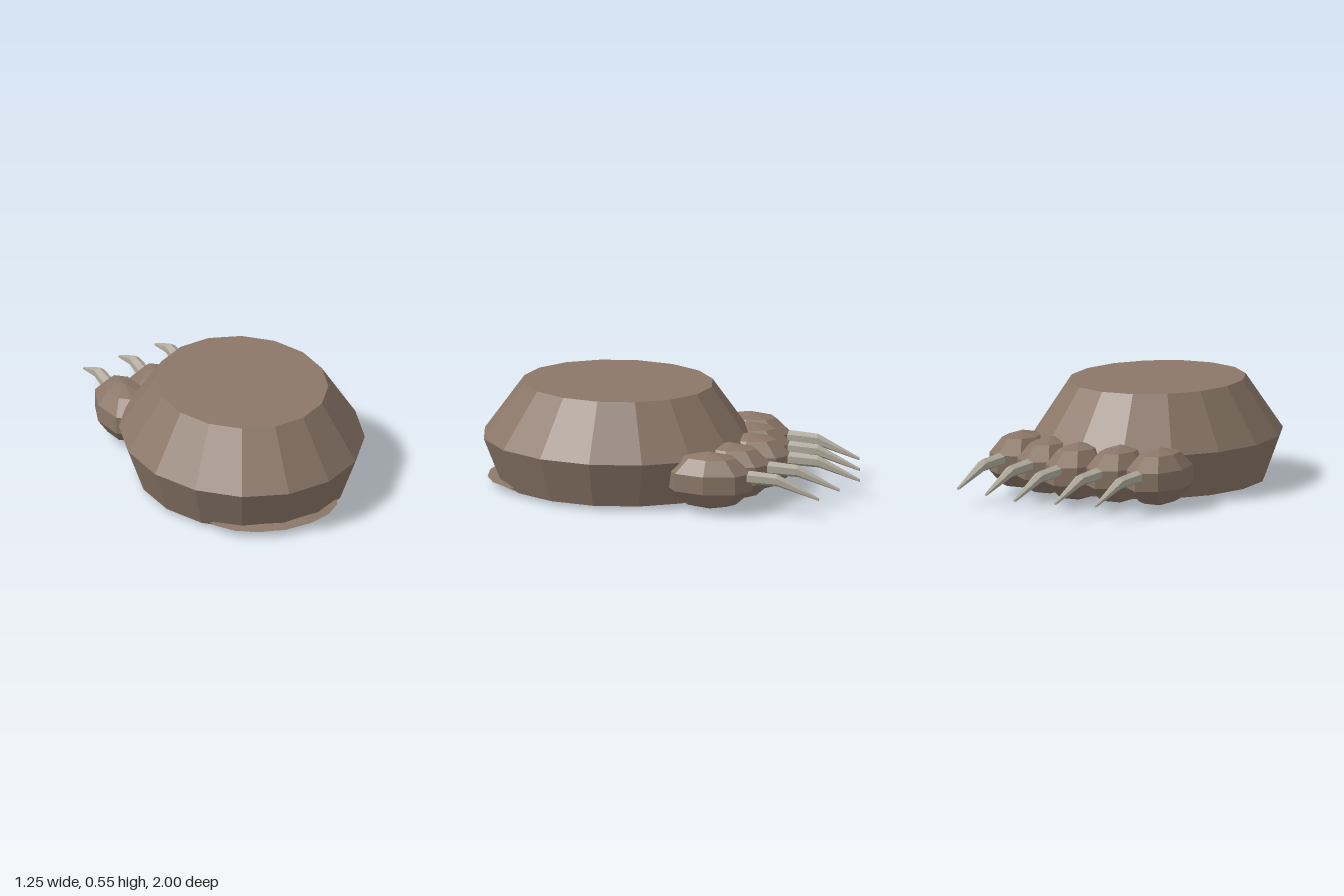
import * as THREE from 'three';

const fur = new THREE.MeshStandardMaterial({ color: 0x8b7768 });
fur.name = 'brownFur';
const horn = new THREE.MeshStandardMaterial({ color: 0xb2ad9f });
horn.name = 'greyClaw';

// Faceted mesh: split the corners so every face gets its own normal
function facet(name, geometry, material) {
  const g = geometry.toNonIndexed();
  g.computeVertexNormals();
  const mesh = new THREE.Mesh(g, material);
  mesh.name = name;
  return mesh;
}

// Oval turned solid from [radius, height] pairs, listed bottom to top
function oval(name, profile, stretchZ, z) {
  const points = profile.map(([r, y]) => new THREE.Vector2(r, y));
  const g = new THREE.LatheGeometry(points, 16);
  g.scale(1, 1, stretchZ);
  g.translate(0, 0, z);
  return facet(name, g, fur);
}

// Bent six-sided claw; each ring is [forward, y, half width, half height]
function claw(x, z) {
  const rings = [
    [-0.06, 0.195, 0.037, 0.036],
    [0, 0.195, 0.036, 0.035],
    [0.14, 0.188, 0.03, 0.032],
    [0.36, 0.1, 0.008, 0.008],
  ];
  const g = new THREE.CylinderGeometry(1, 1, 3, 6, 3);
  g.rotateX(-Math.PI / 2);
  const p = g.attributes.position;
  for (let i = 0; i < p.count; i++) {
    const [f, y, w, h] = rings[Math.round(1.5 - p.getZ(i))];
    p.setXYZ(i, x + p.getX(i) * w, y + p.getY(i) * h, z - f);
  }
  return facet('claw', g, horn);
}

// Toe: squat low-poly ellipsoid with its claw
function toe(x, z) {
  const group = new THREE.Group();
  group.name = 'toe';
  const g = new THREE.SphereGeometry(1, 8, 5);
  g.scale(0.147, 0.152, 0.237);
  g.translate(x, 0.168, z);
  group.add(facet('toeKnuckle', g, fur), claw(x, z - 0.222));
  return group;
}

export function createModel() {
  const model = new THREE.Group();
  model.name = 'clawedPaw';

  // Main foot and pads
  model.add(
    oval('foot', [[0, 0.02], [0.54, 0.02], [0.625, 0.26], [0.44, 0.55], [0, 0.55]], 1.134, 0.29),
    oval('solePad', [[0, 0], [0.41, 0], [0.46, 0.02], [0.44, 0.03], [0, 0.03]], 1.25, 0.37),
    oval('heelPad', [[0, 0.02], [0.25, 0.02], [0.365, 0.037], [0.26, 0.05], [0, 0.05]], 0.74, 0.7),
  );

  // Toes, mirrored about the middle one
  model.add(toe(0, -0.415));
  for (const side of [-1, 1]) {
    model.add(toe(side * 0.218, -0.36), toe(side * 0.432, -0.305));
  }
  return model;
}
